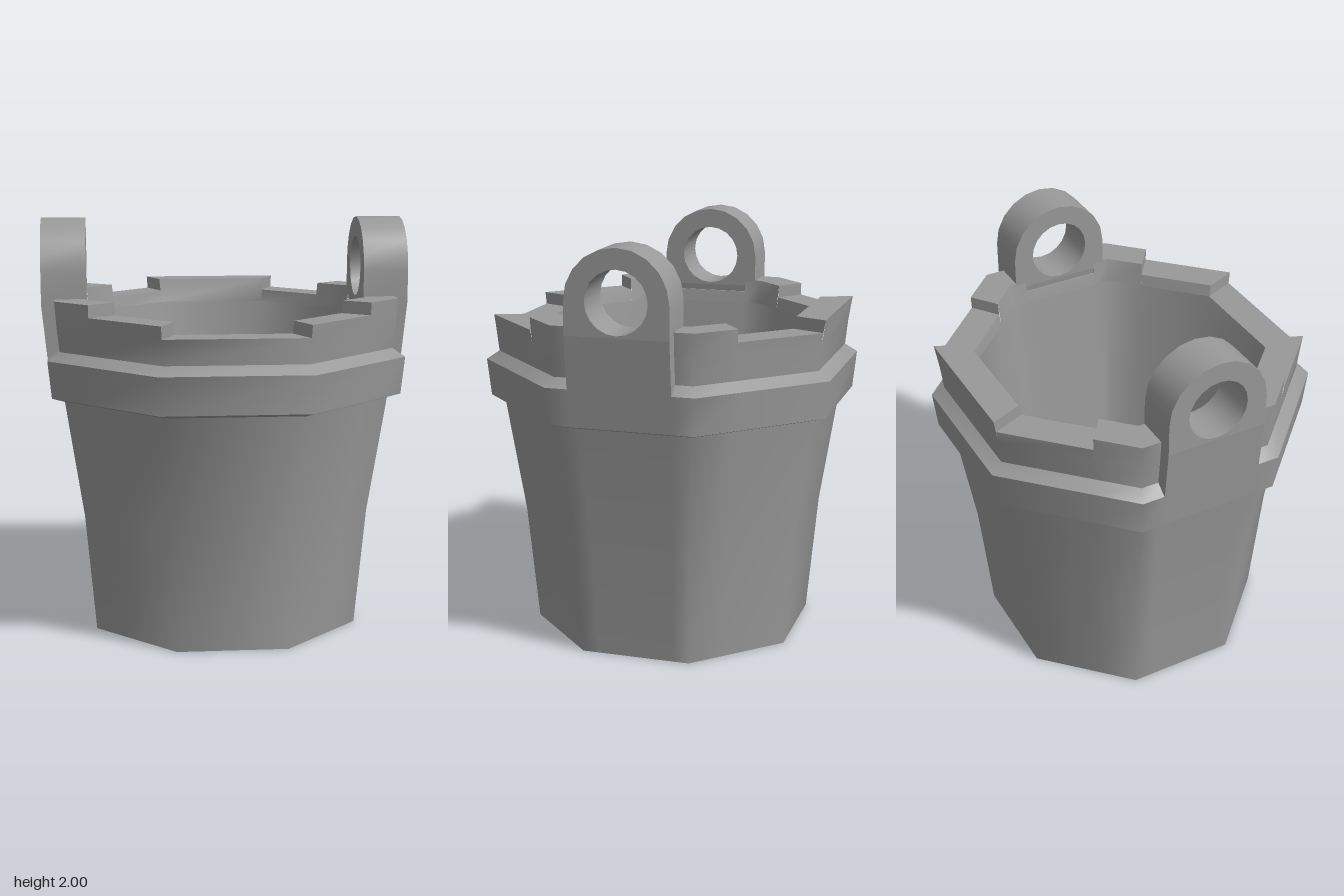
import * as THREE from 'three';
import { toCreasedNormals } from 'three/addons/utils/BufferGeometryUtils.js';

const material = new THREE.MeshStandardMaterial({ color: 0x999999 });

// Rim levels: height, with the outer and inner apothem there
const LOW = { y: 1.51, outer: 0.807, inner: 0.651 };
const MID = { y: 1.57, outer: 0.814, inner: 0.661 };
const SIDE = { y: 1.63, outer: 0.816, inner: 0.666 };
const BACK = { y: 1.63, outer: 0.825, inner: 0.675 };

// Stations round the octagon, counted in corners (corner 0 is at the front, towards +x),
// and the rim level of the stretch that follows each. The rim dips under the lugs.
const STATIONS = [0, 0.67, 1, 1.15, 1.85, 2, 2.33, 3, 4, 4.67, 5, 5.15, 5.85, 6, 6.33, 7];
const LEVELS = [MID, SIDE, SIDE, MID, SIDE, SIDE, MID, BACK, MID, SIDE, SIDE, MID, SIDE, SIDE, MID, LOW];
const COUNT = STATIONS.length;

// Point at a station on an octagon of the given apothem and height
function point(station, [apothem, y]) {
  const corner = (k) => {
    const angle = Math.PI / 8 + (k * Math.PI) / 4;
    const r = apothem / Math.cos(Math.PI / 8);
    return new THREE.Vector3(r * Math.sin(angle), y, r * Math.cos(angle));
  };
  const k = Math.floor(station);
  return corner(k).lerp(corner(k + 1), station - k);
}

// Two triangles, leaving out any that collapse
function addQuad(out, a, b, c, d) {
  for (const t of [[a, b, c], [a, c, d]]) {
    if (new THREE.Triangle(...t).getArea() > 1e-7) t.forEach((p) => out.push(p.x, p.y, p.z));
  }
}

function addProfile(out, i, profile) {
  const s = STATIONS[i], e = STATIONS[(i + 1) % COUNT];
  for (let j = 0; j < profile.length - 1; j++) {
    addQuad(out, point(s, profile[j]), point(e, profile[j]), point(e, profile[j + 1]), point(s, profile[j + 1]));
  }
}

function makeMesh(name, geometry, crease = 46) {
  const mesh = new THREE.Mesh(toCreasedNormals(geometry, THREE.MathUtils.degToRad(crease)), material);
  mesh.name = name;
  return mesh;
}

function meshFromPositions(name, out) {
  const geometry = new THREE.BufferGeometry();
  geometry.setAttribute('position', new THREE.Float32BufferAttribute(out, 3));
  geometry.computeVertexNormals();
  return makeMesh(name, geometry);
}

function loft(name, profile) {
  const out = [];
  for (let i = 0; i < COUNT; i++) addProfile(out, i, profile);
  return meshFromPositions(name, out);
}

// Stepped rim: raised, middle and lowered stretches with end faces between them
function makeRim() {
  const out = [];
  for (let i = 0; i < COUNT; i++) {
    const level = LEVELS[i], before = LEVELS[(i + COUNT - 1) % COUNT];
    addProfile(out, i, [
      [0.795, 1.39], [LOW.outer, LOW.y], [level.outer, level.y], [level.inner, level.y], [LOW.inner, LOW.y],
    ]);
    if (level === before) continue;
    const [lo, hi] = level.y < before.y ? [level, before] : [before, level];
    const face = [[lo.outer, lo.y], [lo.inner, lo.y], [hi.inner, hi.y], [hi.outer, hi.y]]
      .map((p) => point(STATIONS[i], p));
    if (hi === level) face.reverse();
    addQuad(out, ...face);
  }
  return meshFromPositions('rim', out);
}

// Handle lug: a pierced round-topped eye on a tapering foot
function makeLug(name) {
  const lug = new THREE.Group();
  lug.name = name;
  const half = 0.245, centre = 1.755, joint = 1.6, inside = 0.665, outside = 0.88;

  const outline = [new THREE.Vector2(-half, joint), new THREE.Vector2(half, joint)];
  for (let i = 0; i <= 10; i++) {
    const a = (i / 10) * Math.PI;
    outline.push(new THREE.Vector2(half * Math.cos(a), centre + half * Math.sin(a)));
  }
  const shape = new THREE.Shape(outline);
  shape.holes.push(new THREE.Path().absarc(0, 1.758, 0.147, 0, Math.PI * 2, true));
  const eye = new THREE.ExtrudeGeometry(shape, { depth: outside - inside, bevelEnabled: false, curveSegments: 10 });
  eye.rotateY(Math.PI / 2).translate(inside, 0, 0);
  lug.add(makeMesh('lugEye', eye, 40));

  const foot = new THREE.BoxGeometry(1, joint - 1.35, half * 2);
  const pos = foot.attributes.position;
  for (let i = 0; i < pos.count; i++) {
    const top = pos.getY(i) > 0;
    pos.setX(i, pos.getX(i) < 0 ? (top ? inside : 0.7) : top ? outside : 0.855);
  }
  foot.translate(0, (joint + 1.35) / 2, 0);
  foot.computeVertexNormals();
  lug.add(makeMesh('lugFoot', foot, 40));
  return lug;
}

export function createModel() {
  const model = new THREE.Group();
  model.name = 'bucket';
  model.add(
    loft('body', [[0, 0], [0.64, 0], [0.69, 0.58], [0.775, 1.15]]),
    loft('collar', [[0.775, 1.15], [0.835, 1.17], [0.853, 1.35], [0.795, 1.39]]),
    makeRim(),
    loft('interior', [[LOW.inner, LOW.y], [0.515, 0.12], [0, 0.12]]),
  );
  const leftLug = makeLug('leftLug');
  const rightLug = makeLug('rightLug');
  rightLug.rotation.y = Math.PI;
  model.add(leftLug, rightLug);
  return model;
}
